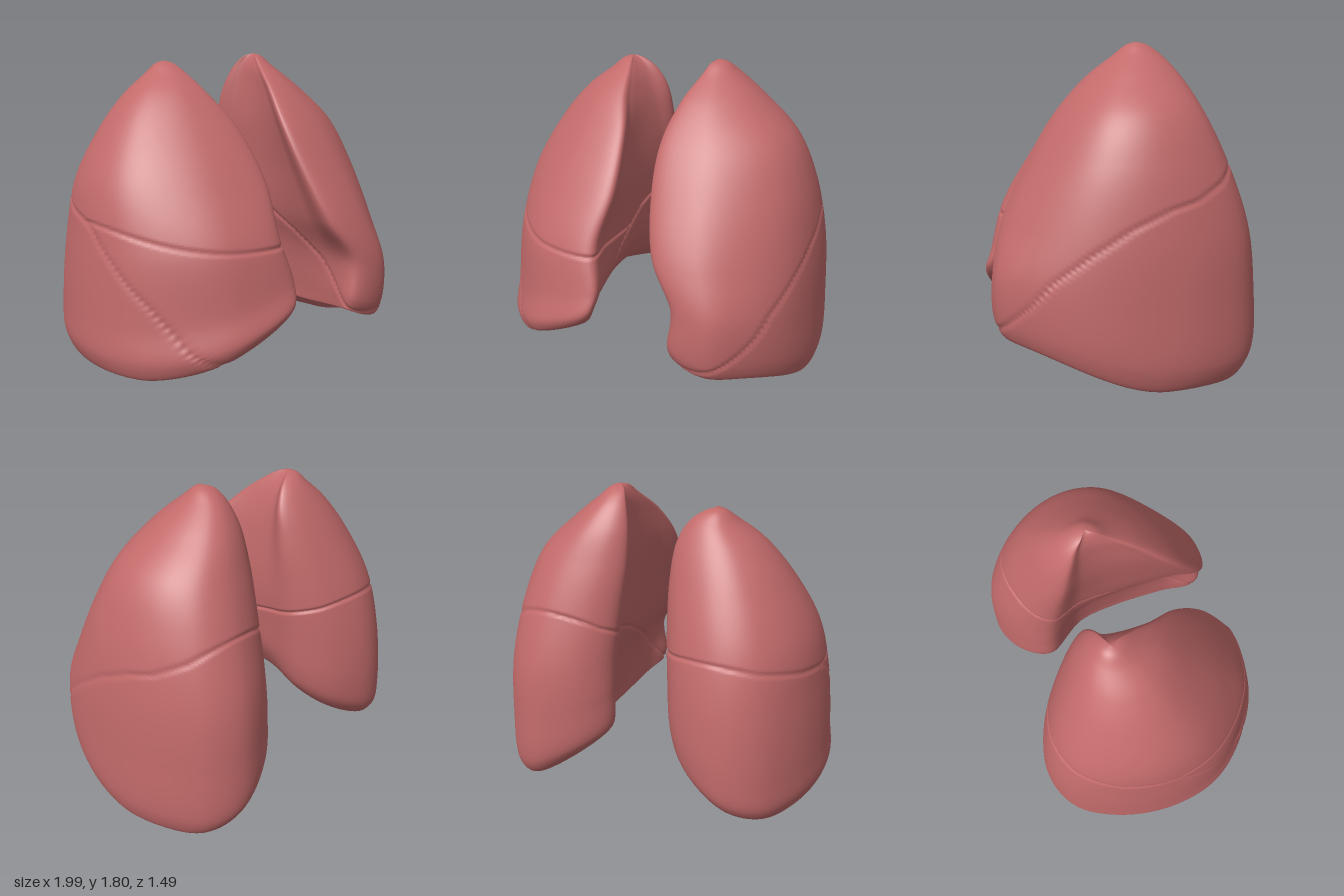
import * as THREE from 'three';
import { mergeVertices } from 'three/addons/utils/BufferGeometryUtils.js';

const lerp = THREE.MathUtils.lerp;
const smooth = THREE.MathUtils.smoothstep;
const SEGMENTS = 156;

// Cross-section outline: [lateral fraction, depth fraction from the front]
const OUTER = [[0.4, 0.01], [0.72, 0.13], [0.93, 0.3], [1, 0.52]];
const BACK = [[0.93, 0.76], [0.74, 0.94], [0.48, 1], [0.15, 0.93], [0, 0.8]];

// Extra rise of the lower rim along the inner side
const innerArch = (x, z) => (1 - smooth(x, 0.2, 0.65)) * Math.exp(-(((z + 0.03) / 0.4) ** 2));

// Levels: [height, outer x, back z, front z, front edge x, rear inner x, mid inner x]
const LEFT = {
  side: 1, dome: 0.17, apex: [0.3, 1.8, -0.12],
  levels: [
    [0.0, 0.95, -0.66, 0.65, 0.42, 0.27, 0.46],
    [0.1, 0.985, -0.73, 0.69, 0.41, 0.21, 0.45],
    [0.45, 0.985, -0.735, 0.69, 0.43, 0.2, 0.4],
    [0.8, 0.96, -0.7, 0.63, 0.28, 0.2, 0.32],
    [1.15, 0.89, -0.59, 0.48, 0.19, 0.18, 0.27],
    [1.4, 0.78, -0.48, 0.33, 0.165, 0.165, 0.24],
    [1.6, 0.57, -0.37, 0.16, 0.2, 0.18, 0.24],
    [1.73, 0.41, -0.26, 0.0, 0.25, 0.22, 0.25],
    [1.785, 0.345, -0.18, -0.07, 0.27, 0.255, 0.275],
  ],
  // Height of the lower rim: rises toward the front and the middle
  rim: (x, z) => Math.hypot(0.22 * smooth(z, -0.2, 0.65), 0.28 * (1 - smooth(x, 0.15, 0.85)))
    + 0.22 * innerArch(x, z),
  oblique: [[-0.75, 1.2], [-0.6, 1.15], [-0.5, 1.06], [-0.35, 0.98], [-0.2, 0.94], [0, 0.85],
    [0.2, 0.72], [0.4, 0.57], [0.5, 0.45], [0.65, 0.3], [0.75, 0.2]],
};
const RIGHT = {
  side: -1, dome: 0.2, apex: [0.325, 1.76, -0.19],
  levels: [
    [0.0, 0.95, -0.63, 0.69, 0.13, 0.26, 0.3],
    [0.1, 0.99, -0.7, 0.735, 0.08, 0.2, 0.24],
    [0.3, 0.985, -0.72, 0.7, 0.06, 0.17, 0.19],
    [0.75, 0.95, -0.69, 0.63, 0.11, 0.15, 0.16],
    [1.1, 0.89, -0.61, 0.47, 0.08, 0.13, 0.14],
    [1.4, 0.73, -0.48, 0.26, 0.13, 0.12, 0.17],
    [1.58, 0.58, -0.38, 0.1, 0.22, 0.14, 0.21],
    [1.69, 0.44, -0.3, -0.04, 0.27, 0.2, 0.255],
    [1.745, 0.375, -0.24, -0.13, 0.3, 0.275, 0.3],
  ],
  rim: (x, z) => 0.1 + 0.33 * Math.pow(1 - Math.min(x, 0.85) / 0.85, 1.3)
    + 0.2 * innerArch(x, z),
  oblique: [[-0.75, 1.12], [-0.55, 1.02], [-0.3, 0.95], [-0.1, 0.91], [0, 0.87], [0.2, 0.7],
    [0.4, 0.5], [0.57, 0.28], [0.7, 0.16]],
  horizontal: (x) => 0.77 + 0.13 * Math.pow(Math.abs(x) / 0.93, 4),
};

// Linear interpolation along a list of [position, value]
function along(points, p) {
  let k = 0;
  while (k < points.length - 2 && p > points[k + 1][0]) k++;
  const [a, b] = [points[k], points[k + 1]];
  return lerp(a[1], b[1], THREE.MathUtils.clamp((p - a[0]) / (b[0] - a[0]), 0, 1));
}

// One closed horizontal cross-section
function ring([y, xo, zb, zf, xf, xi, xh]) {
  const pts = [[xf, 0.015]];
  OUTER.forEach(([u, v]) => pts.push([lerp(xf, xo, u), v]));
  BACK.forEach(([u, v]) => pts.push([lerp(xi, xo, u), v]));
  pts.push([lerp(xi, xh, 0.75), 0.63], [xh, 0.42], [lerp(xf, xh, 0.6), 0.18]);
  const curve = new THREE.CatmullRomCurve3(
    pts.map(([x, v]) => new THREE.Vector3(x, y, lerp(zf, zb, v))), true);
  return curve.getPoints(SEGMENTS).slice(0, SEGMENTS);
}

// Loft from the middle of the hollow base, around the rim and up to the apex
function lungGeometry({ side, dome, apex, levels, rim }) {
  const shell = levels.map(ring);
  const centre = new THREE.Vector3();
  shell[0].forEach((p) => centre.addScaledVector(p, 1 / SEGMENTS));
  const base = [0, 0.3, 0.6, 0.85, 0.96].map((k) => shell[0].map((p) => {
    const q = centre.clone().lerp(p, k);
    q.y = rim(q.x, q.z) + dome * (1 - k * k);
    return q;
  }));
  shell.forEach((r) => r.forEach((p) => {
    p.y += rim(p.x, p.z) * Math.max(0, 1 - p.y / 0.9);
  }));
  const top = shell[0].map(() => new THREE.Vector3(...apex));
  const rings = [...base, ...shell, top];
  const intervals = rings.length - 1;

  // Rows spaced evenly enough to hold the narrow fissures
  const rows = [];
  for (let k = 0; k < intervals; k++) {
    const step = k < base.length ? 0.04 : 0.0105;
    const n = Math.max(4, Math.round(rings[k][36].distanceTo(rings[k + 1][36]) / step));
    for (let i = 0; i < n; i++) rows.push((k + i / n) / intervals);
  }
  rows.push(1);

  const pos = [], index = [], p = new THREE.Vector3();
  const columns = shell[0].map((_, j) => new THREE.CatmullRomCurve3(rings.map((r) => r[j])));
  rows.forEach((t) => columns.forEach((c) => {
    c.getPoint(t, p);
    pos.push(side * p.x, Math.max(0, p.y), p.z);
  }));
  for (let i = 0; i < rows.length - 1; i++) {
    for (let j = 0; j < SEGMENTS; j++) {
      const a = i * SEGMENTS + j, b = i * SEGMENTS + (j + 1) % SEGMENTS;
      const c = a + SEGMENTS, d = b + SEGMENTS;
      if (side > 0) index.push(a, b, c, b, d, c);
      else index.push(a, c, b, b, c, d);
    }
  }
  let geo = new THREE.BufferGeometry();
  geo.setAttribute('position', new THREE.Float32BufferAttribute(pos, 3));
  geo.setIndex(index);
  geo = mergeVertices(geo, 1e-5);
  geo.computeVertexNormals();
  return geo;
}

// Press the fissures into the surface as narrow grooves
function carveFissures(geo, { oblique, horizontal }) {
  const pos = geo.attributes.position, nor = geo.attributes.normal;
  for (let i = 0; i < pos.count; i++) {
    const x = pos.getX(i), y = pos.getY(i), z = pos.getZ(i);
    const f = along(oblique, z);
    const slope = (along(oblique, z + 0.03) - along(oblique, z - 0.03)) / 0.06;
    let d = Math.abs(y - f) / Math.hypot(1, slope);
    if (horizontal && y > f) d = Math.min(d, Math.abs(y - horizontal(x)));
    const depth = 0.012 * Math.exp(-((d / 0.009) ** 2));
    pos.setXYZ(i, x - nor.getX(i) * depth, y - nor.getY(i) * depth, z - nor.getZ(i) * depth);
  }
  geo.computeVertexNormals();
}

// Split the surface into lobes that share smooth normals
function buildLung(spec, label, material) {
  const geo = lungGeometry(spec);
  carveFissures(geo, spec);
  const pos = geo.attributes.position, idx = geo.index.array;
  const lobes = { UpperLobe: [], MiddleLobe: [], LowerLobe: [] };
  for (let i = 0; i < idx.length; i += 3) {
    const tri = [idx[i], idx[i + 1], idx[i + 2]];
    const mean = (get) => tri.reduce((sum, v) => sum + pos[get](v), 0) / 3;
    const y = mean('getY');
    const lobe = y < along(spec.oblique, mean('getZ')) ? 'LowerLobe'
      : spec.horizontal && y < spec.horizontal(mean('getX')) ? 'MiddleLobe' : 'UpperLobe';
    lobes[lobe].push(...tri);
  }
  const group = new THREE.Group();
  group.name = label + 'Lung';
  for (const [name, tris] of Object.entries(lobes)) {
    if (!tris.length) continue;
    const part = new THREE.BufferGeometry();
    part.setAttribute('position', pos);
    part.setAttribute('normal', geo.attributes.normal);
    part.setIndex(tris);
    const mesh = new THREE.Mesh(part, material);
    mesh.name = label + name;
    group.add(mesh);
  }
  return group;
}

export function createModel() {
  const tissue = new THREE.MeshStandardMaterial({ color: 0xc26a6a });
  tissue.name = 'lung tissue pink';
  const model = new THREE.Group();
  model.name = 'lungs';
  model.add(buildLung(LEFT, 'left', tissue), buildLung(RIGHT, 'right', tissue));
  return model;
}
